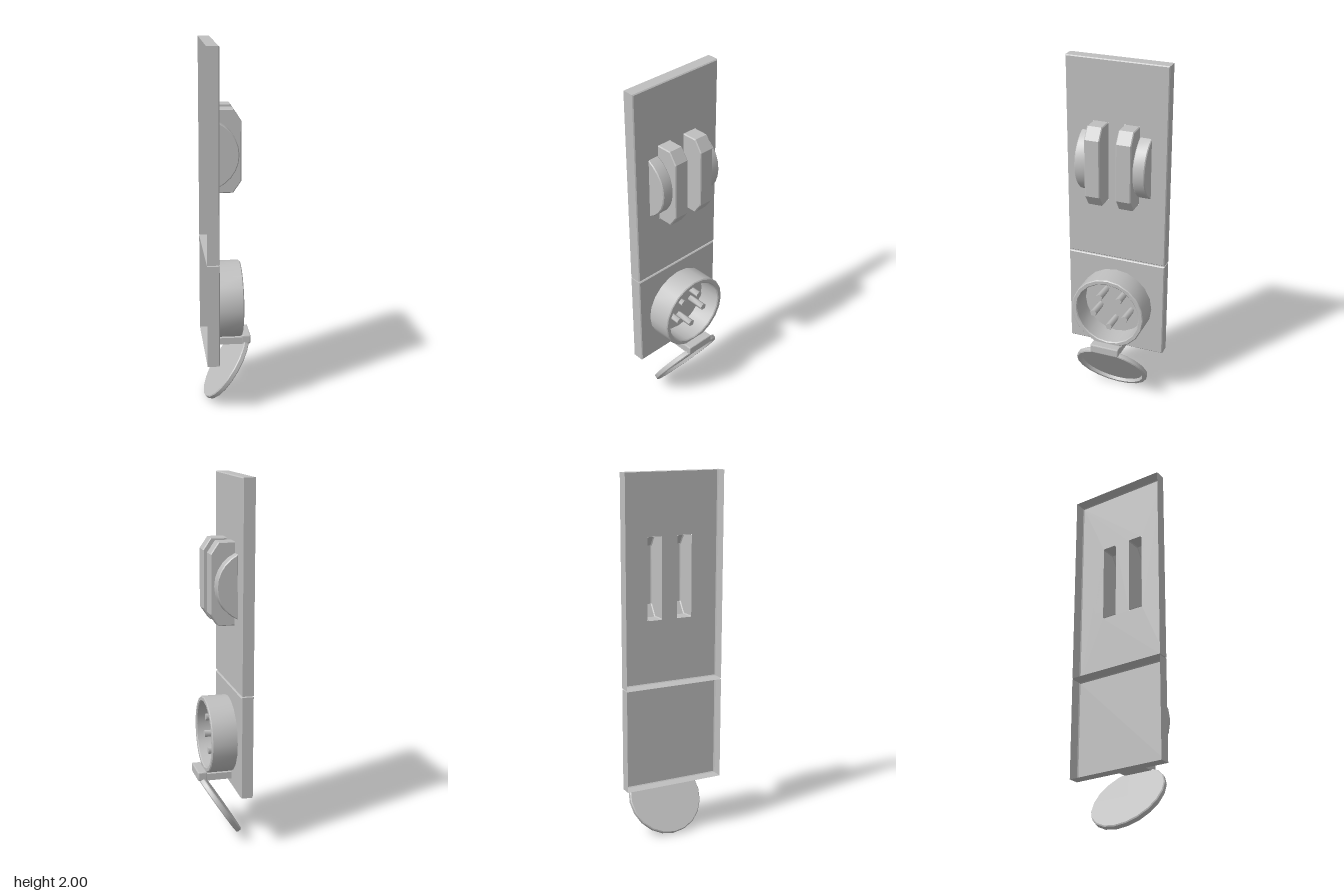
import * as THREE from 'three';
import { toCreasedNormals } from 'three/addons/utils/BufferGeometryUtils.js';
import { RoundedBoxGeometry } from 'three/addons/geometries/RoundedBoxGeometry.js';

const FACE = -0.064; // outer face of the plates
const BACK = -0.13; // open rear rim of the plates
const B = 0.005; // small edge bevel

// Keep only the triangles whose corners pass the test
function keepFaces(geometry, test) {
  const src = geometry.index ? geometry.toNonIndexed() : geometry;
  const p = src.attributes.position;
  const out = [];
  for (let i = 0; i < p.count; i += 3) {
    const tri = [0, 1, 2].map((k) => new THREE.Vector3().fromBufferAttribute(p, i + k));
    if (test(tri)) tri.forEach((v) => out.push(v.x, v.y, v.z));
  }
  const result = new THREE.BufferGeometry();
  result.setAttribute('position', new THREE.Float32BufferAttribute(out, 3));
  return result;
}

function rectangle(path, x0, x1, y0, y1) {
  path.moveTo(x0, y0).lineTo(x1, y0).lineTo(x1, y1).lineTo(x0, y1).closePath();
  return path;
}

function bevelled(shape, depth) {
  return new THREE.ExtrudeGeometry(shape, {
    depth, bevelEnabled: true, bevelSize: B, bevelThickness: B, bevelOffset: -B, bevelSegments: 1,
  });
}

export function createModel() {
  const group = new THREE.Group();
  const grey = new THREE.MeshStandardMaterial({ color: 0xbfbfbf, side: THREE.DoubleSide });
  grey.name = 'light grey';

  function add(name, geometry, crease = 0.5) {
    const mesh = new THREE.Mesh(toCreasedNormals(geometry, crease), grey);
    mesh.name = name;
    group.add(mesh);
    return mesh;
  }

  // Shallow plate, hollow at the rear, with optional openings in its face
  function plate(name, y0, y1, openings = []) {
    const shape = rectangle(new THREE.Shape(), -0.283, 0.283, y0, y1);
    for (const [a, b, c, d] of openings) {
      shape.holes.push(rectangle(new THREE.Path(), a + B, b - B, c + B, d - B));
    }
    const g = bevelled(shape, FACE - B - BACK);
    g.rotateY(Math.PI / 2).translate(BACK, 0, 0);
    add(name, keepFaces(g, (t) => {
      const rear = t.every((v) => v.x < BACK + 0.001);
      const front = t.every((v) => v.x > FACE - 0.001);
      const inner = t.every((v) => Math.abs(v.z) < 0.2);
      return !rear && (front || !inner);
    }), 0.3);
  }

  const finY0 = 1.222, finY1 = 1.665, finZ0 = 0.045, finZ1 = 0.13;
  plate('upperPlate', 0.874, 2, [
    [finZ0, finZ1, finY0, finY1],
    [-finZ1, -finZ0, finY0, finY1],
  ]);
  plate('lowerPlate', 0.303, 0.868);

  // Pair of chamfered fins, open to the rear, flanked by rounded side bosses
  const finShape = new THREE.Shape([
    [FACE - B, finY0], [0.022, finY0], [0.065, 1.285],
    [0.065, 1.602], [0.022, finY1], [FACE - B, finY1],
  ].map(([x, y]) => new THREE.Vector2(x, y)));

  const bossShape = new THREE.Shape();
  const bossR = 0.186, bossX = -0.139, bossY = 1.437;
  const half = Math.acos((FACE - bossX) / bossR);
  for (let i = 0; i <= 10; i++) {
    const a = -half + (2 * half * i) / 10;
    const x = bossX + bossR * Math.cos(a), y = bossY + bossR * Math.sin(a);
    if (i === 0) bossShape.moveTo(x, y);
    else bossShape.lineTo(x, y);
  }
  bossShape.closePath();

  const notRear = (t) => !t.every((v) => v.x < FACE + B + 0.001);
  for (const [side, s] of [['left', 1], ['right', -1]]) {
    const fin = bevelled(finShape, finZ1 - finZ0 - 2 * B);
    fin.translate(0, 0, s > 0 ? finZ0 + B : -finZ1 + B);
    add(side + 'Fin', keepFaces(fin, notRear), 0.3);

    const boss = bevelled(bossShape, 0.067 - 2 * B);
    boss.translate(0, 0, s > 0 ? 0.13 + B : -0.197 + B);
    add(side + 'Boss', boss);
  }

  // Round socket cup
  const lathe = (points, n) =>
    new THREE.LatheGeometry(points.map(([r, y]) => new THREE.Vector2(r, y)), n);
  const cup = lathe([
    [0.213, FACE], [0.213, 0.07], [0.208, 0.075], [0.19, 0.075],
    [0.185, 0.07], [0.185, -0.06], [0, -0.06],
  ], 20);
  cup.rotateZ(-Math.PI / 2).translate(0, 0.585, 0);
  add('socketCup', cup);

  // Five contact pins in a ring
  for (let i = 0; i < 5; i++) {
    const a = -Math.PI / 2 + (i * Math.PI * 2) / 5;
    const pin = new THREE.CylinderGeometry(0.02, 0.02, 0.11, 5);
    pin.rotateY(-Math.PI / 2).rotateZ(-Math.PI / 2);
    pin.translate(-0.005, 0.585 + 0.098 * Math.sin(a), 0.098 * Math.cos(a));
    add('contactPin', pin, 1.4);
  }

  // Hinge arm under the cup and the knuckle at its end
  const arm = new THREE.BoxGeometry(0.15, 0.038, 0.166);
  add('hingeArm', arm.translate(0.011, 0.362, 0));
  const knuckle = new RoundedBoxGeometry(0.051, 0.05, 0.168, 1, 0.006);
  add('hingeKnuckle', knuckle.translate(0.1, 0.367, 0), 0.3);

  // Open lid hanging from the hinge, recessed on its outer-facing side
  const lid = lathe([
    [0, -0.015], [0.208, -0.015], [0.213, -0.01], [0.213, 0.01],
    [0.208, 0.015], [0.19, 0.015], [0.184, -0.003], [0, -0.003],
  ], 20);
  lid.rotateZ(Math.atan2(-0.833, -0.552)).translate(-0.003, 0.186, 0);
  add('lid', lid);

  return group;
}
